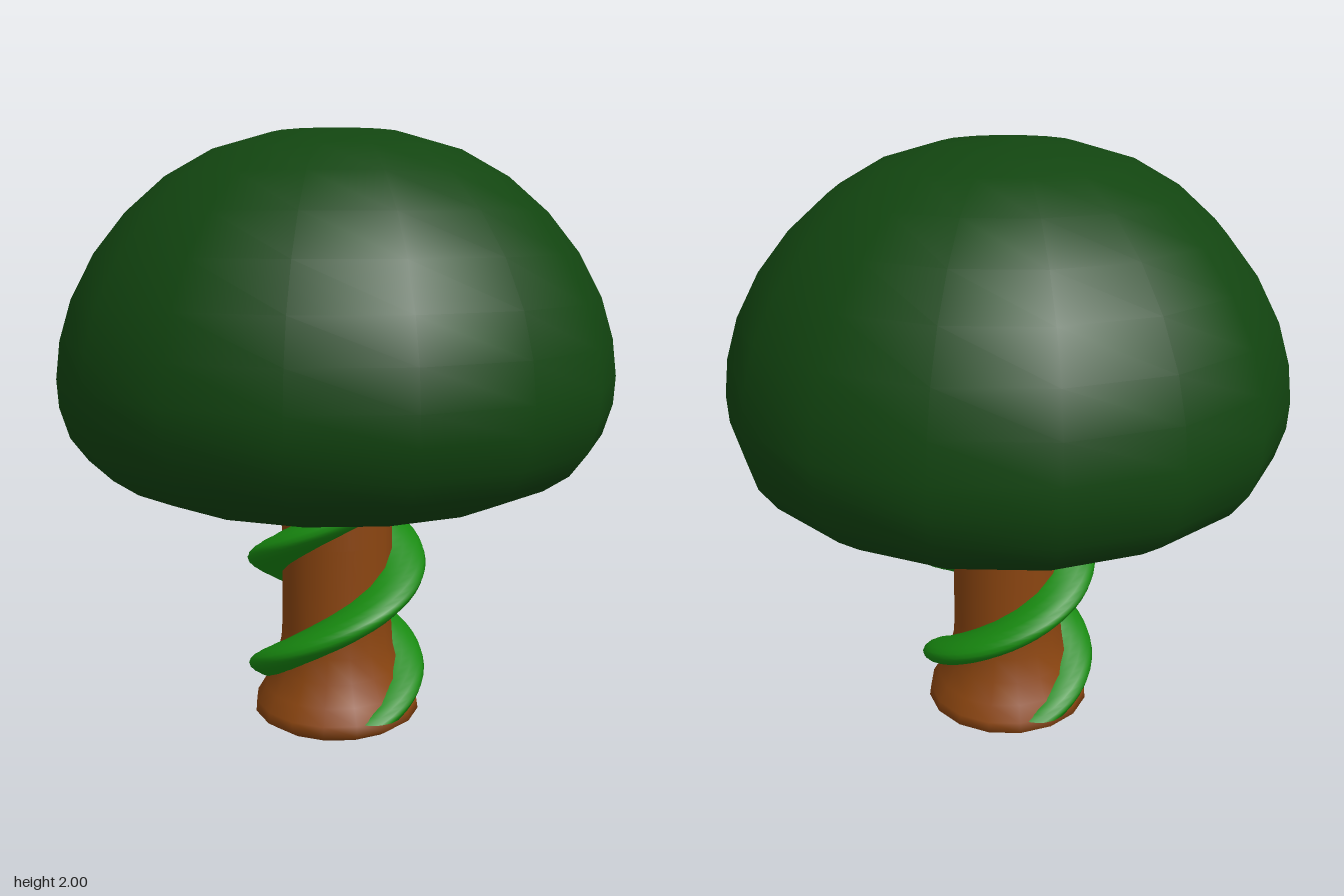
import * as THREE from 'three';

const SIDES = 16;
const material = (color) => new THREE.MeshStandardMaterial({ color });

// Turned part from [radius, height] pairs listed bottom to top
function turned(name, profile, color) {
  const points = profile.map(([r, y]) => new THREE.Vector2(r, y));
  const mesh = new THREE.Mesh(new THREE.LatheGeometry(points, SIDES), material(color));
  mesh.name = name;
  return mesh;
}

// Upright round rod offset from the axis, then twisted around it
function vineGeometry() {
  const bottom = 0.08, top = 0.95, radius = 0.1, offset = 0.205, halfTurn = 0.38;
  const geometry = new THREE.CylinderGeometry(radius, radius, top - bottom, SIDES, 48);
  geometry.translate(0, (top + bottom) / 2, -offset);
  const pos = geometry.attributes.position;
  const axis = new THREE.Vector3(0, 1, 0);
  const v = new THREE.Vector3();
  for (let i = 0; i < pos.count; i++) {
    v.fromBufferAttribute(pos, i);
    v.applyAxisAngle(axis, Math.PI / 2 + (Math.PI * (v.y - bottom)) / halfTurn);
    pos.setXYZ(i, v.x, v.y, v.z);
  }
  geometry.computeVertexNormals();
  return geometry;
}

export function createModel() {
  const tree = new THREE.Group();
  tree.name = 'tree';

  // Dome-shaped crown with a flattened underside
  tree.add(turned('canopy', [
    [0, 0.79], [0.24, 0.797], [0.45, 0.815], [0.62, 0.85], [0.735, 0.9], [0.815, 0.955],
    [0.87, 1.03], [0.9, 1.13], [0.905, 1.22], [0.89, 1.34], [0.85, 1.47], [0.775, 1.61],
    [0.675, 1.735], [0.55, 1.845], [0.4, 1.93], [0.21, 1.985], [0, 2],
  ], 0x124510));

  // Trunk with a flared, slightly domed foot
  tree.add(turned('trunk', [
    [0, 0], [0.14, 0.008], [0.25, 0.02], [0.285, 0.045], [0.28, 0.08], [0.25, 0.13],
    [0.215, 0.2], [0.195, 0.28], [0.19, 0.36], [0.19, 0.65], [0.19, 1],
  ], 0x8b4510));

  // Two vines, half a turn apart
  const geometry = vineGeometry();
  for (const [name, turn] of [['rightVine', 0], ['leftVine', Math.PI]]) {
    const vine = new THREE.Mesh(geometry, material(0x188a10));
    vine.name = name;
    vine.rotation.y = turn;
    tree.add(vine);
  }
  return tree;
}
